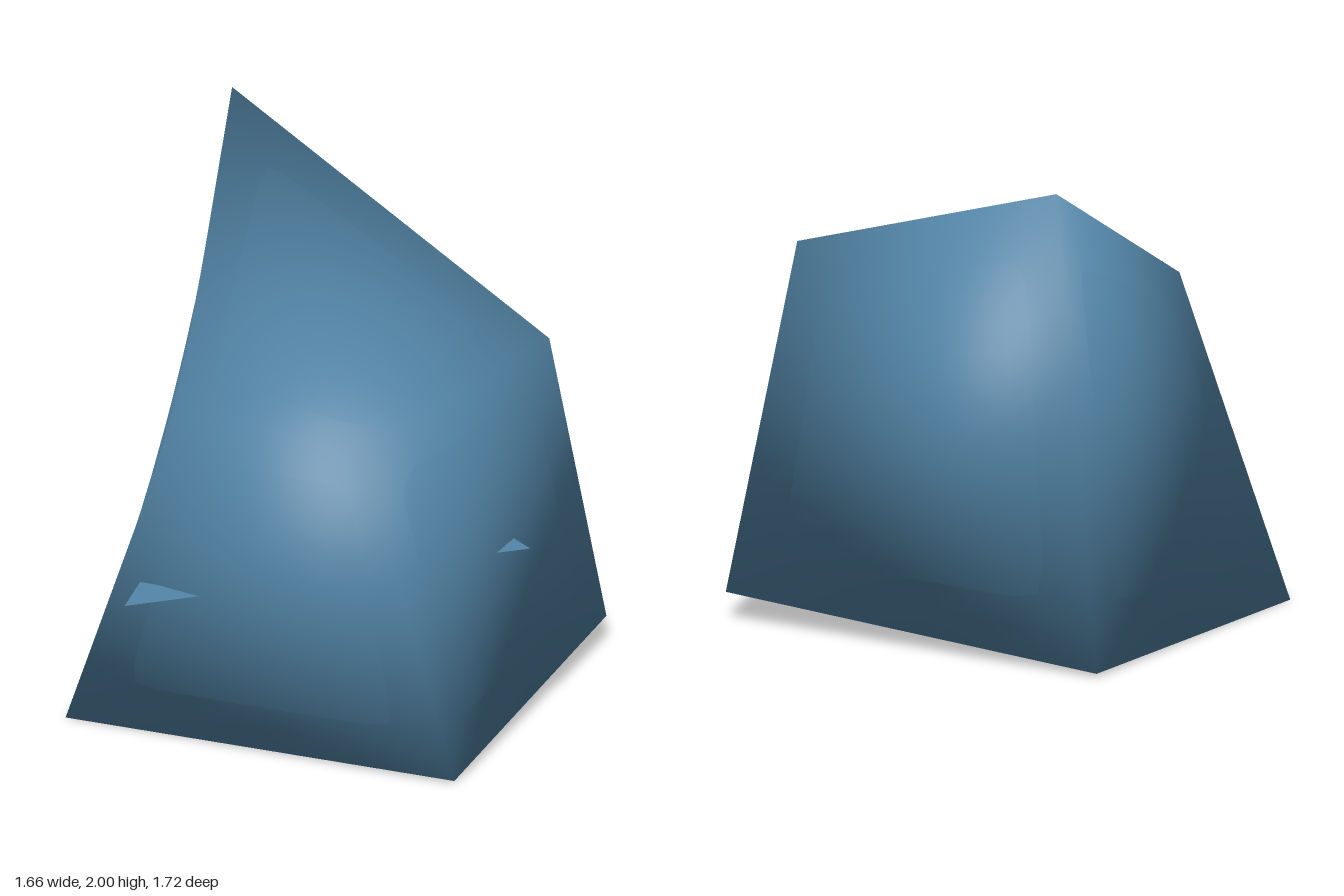
import * as THREE from 'three';

// Corners of the leaning block, indexed by x + 2y + 4z bits (0 = negative side)
const corners = [
  [-0.835, 0.02, -0.6], [0.83, 0.12, -0.68], [-0.82, 2, -0.86], [0.755, 1.45, -0.29],
  [-0.825, 0.005, 0.78], [0.805, 0.02, 0.77], [-0.43, 1.3, 0.6], [0.27, 1.18, 0.42],
].map((c) => new THREE.Vector3(...c));
const centre = new THREE.Vector3(0, 0.75, 0);
const directions = corners.map((c) => c.clone().sub(centre).normalize());

// Blend eight corner values at a point of the cube from -1 to 1
function blend(values, p) {
  const out = new THREE.Vector3();
  values.forEach((value, i) => {
    const wx = (1 + (i & 1 ? p.x : -p.x)) / 2;
    const wy = (1 + (i & 2 ? p.y : -p.y)) / 2;
    const wz = (1 + (i & 4 ? p.z : -p.z)) / 2;
    out.addScaledVector(value, wx * wy * wz);
  });
  return out;
}

// Bend a subdivided cube into the block; place() may reshape the cube first
function makeBlock(place, flatness) {
  const geometry = new THREE.BoxGeometry(2, 2, 2, 16, 16, 16);
  const { position, normal } = geometry.attributes;
  const p = new THREE.Vector3();
  const face = new THREE.Vector3();
  for (let i = 0; i < position.count; i++) {
    p.fromBufferAttribute(position, i);
    face.fromBufferAttribute(normal, i);
    const softened = p.clone().multiplyScalar(flatness).addScaledVector(face, 1 - flatness);
    const n = blend(directions, softened).normalize();
    const q = blend(corners, place(p, face));
    position.setXYZ(i, q.x, q.y, q.z);
    normal.setXYZ(i, n.x, n.y, n.z);
  }
  return geometry;
}

// Inset cube whose faces swell just past the outer shell
function pillow(p, face) {
  let swell = 0.074;
  for (const axis of ['x', 'y', 'z']) {
    if (Math.abs(face[axis]) < 0.5) swell *= 1 - p[axis] ** 10;
  }
  return p.clone().multiplyScalar(0.935).addScaledVector(face, swell);
}

function makeSliver(points) {
  const geometry = new THREE.BufferGeometry();
  geometry.setAttribute('position', new THREE.Float32BufferAttribute(points, 3));
  geometry.computeVertexNormals();
  return geometry;
}

export function createModel() {
  const group = new THREE.Group();
  const stone = new THREE.MeshStandardMaterial({ color: 0x5081a2, side: THREE.DoubleSide });
  stone.name = 'blueStone';
  const add = (name, geometry) => {
    const mesh = new THREE.Mesh(geometry, stone);
    mesh.name = name;
    group.add(mesh);
  };

  add('outerShell', makeBlock((p) => p, 1));
  add('swollenFaces', makeBlock(pillow, 0.85));

  // Thin splinters standing out of the front and left faces
  add('frontSplinter', makeSliver([-0.545, 0.56, 0.855, -0.3, 0.58, 0.7, -0.55, 0.595, 0.68]));
  add('leftSplinter', makeSliver([0.79, 0.675, -0.02, 0.68, 0.69, -0.07, 0.65, 0.665, 0.07]));
  return group;
}
